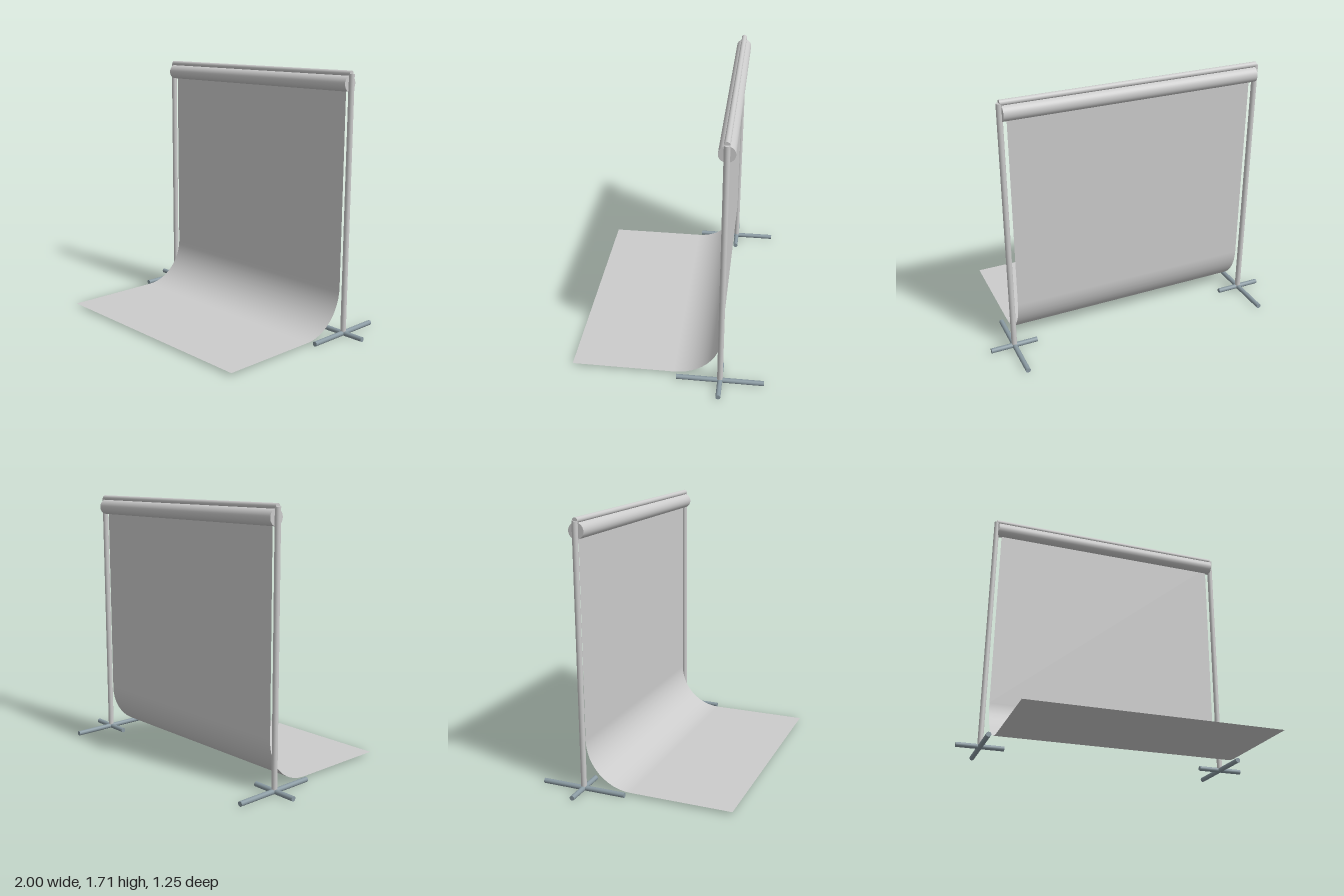
import * as THREE from 'three';

const grey = new THREE.MeshStandardMaterial({ color: 0xcccccc });
const steel = new THREE.MeshStandardMaterial({ color: 0x8a9aa2 });
const sheetMaterial = new THREE.MeshStandardMaterial({ color: 0xcccccc, side: THREE.DoubleSide });

const STAND_Z = -0.345;
const POST_X = 0.845;

// Round bar centred on a point and lying along one axis
function bar(name, axis, radius, length, [x, y, z], material, sides = 20) {
  const geometry = new THREE.CylinderGeometry(radius, radius, length, sides);
  if (axis === 'x') geometry.rotateZ(Math.PI / 2);
  if (axis === 'z') geometry.rotateX(Math.PI / 2);
  const mesh = new THREE.Mesh(geometry, material);
  mesh.name = name;
  mesh.position.set(x, y, z);
  return mesh;
}

// Thin sheet: hangs straight down, sweeps through a quarter circle, then lies flat
function backdropSheet() {
  const top = 1.62, floor = 0.02, front = 0.62, bend = 0.3, halfWidth = 0.805, steps = 12;
  const profile = [[top, STAND_Z, 0]];
  for (let i = 0; i <= steps; i++) {
    const a = (i / steps) * Math.PI / 2;
    profile.push([floor + bend * (1 - Math.sin(a)), STAND_Z + bend * (1 - Math.cos(a)), a]);
  }
  profile.push([floor, front, Math.PI / 2]);

  const positions = [], normals = [], index = [];
  profile.forEach(([y, z, a], i) => {
    for (const x of [-halfWidth, halfWidth]) {
      positions.push(x, y, z);
      normals.push(0, Math.sin(a), Math.cos(a));
    }
    if (i > 0) {
      const k = 2 * (i - 1);
      index.push(k, k + 2, k + 1, k + 1, k + 2, k + 3);
    }
  });
  const geometry = new THREE.BufferGeometry();
  geometry.setAttribute('position', new THREE.Float32BufferAttribute(positions, 3));
  geometry.setAttribute('normal', new THREE.Float32BufferAttribute(normals, 3));
  geometry.setIndex(index);
  const mesh = new THREE.Mesh(geometry, sheetMaterial);
  mesh.name = 'backdropSheet';
  return mesh;
}

// Upright post on a cross-shaped foot
function stand(name, x) {
  const group = new THREE.Group();
  group.name = name;
  group.add(
    bar('post', 'y', 0.018, 1.67, [x, 0.855, STAND_Z], grey),
    bar('footAlongDepth', 'z', 0.016, 0.56, [x, 0.019, STAND_Z], steel),
    bar('footAcross', 'x', 0.016, 0.31, [x, 0.019, STAND_Z], steel),
  );
  return group;
}

export function createModel() {
  const model = new THREE.Group();
  model.name = 'backdropStand';
  model.add(
    stand('leftStand', POST_X),
    stand('rightStand', -POST_X),
    bar('crossbar', 'x', 0.018, 1.69, [0, 1.692, STAND_Z], grey),
    bar('paperRoll', 'x', 0.05, 1.67, [0, 1.63, STAND_Z], grey, 32),
    backdropSheet(),
  );
  return model;
}
